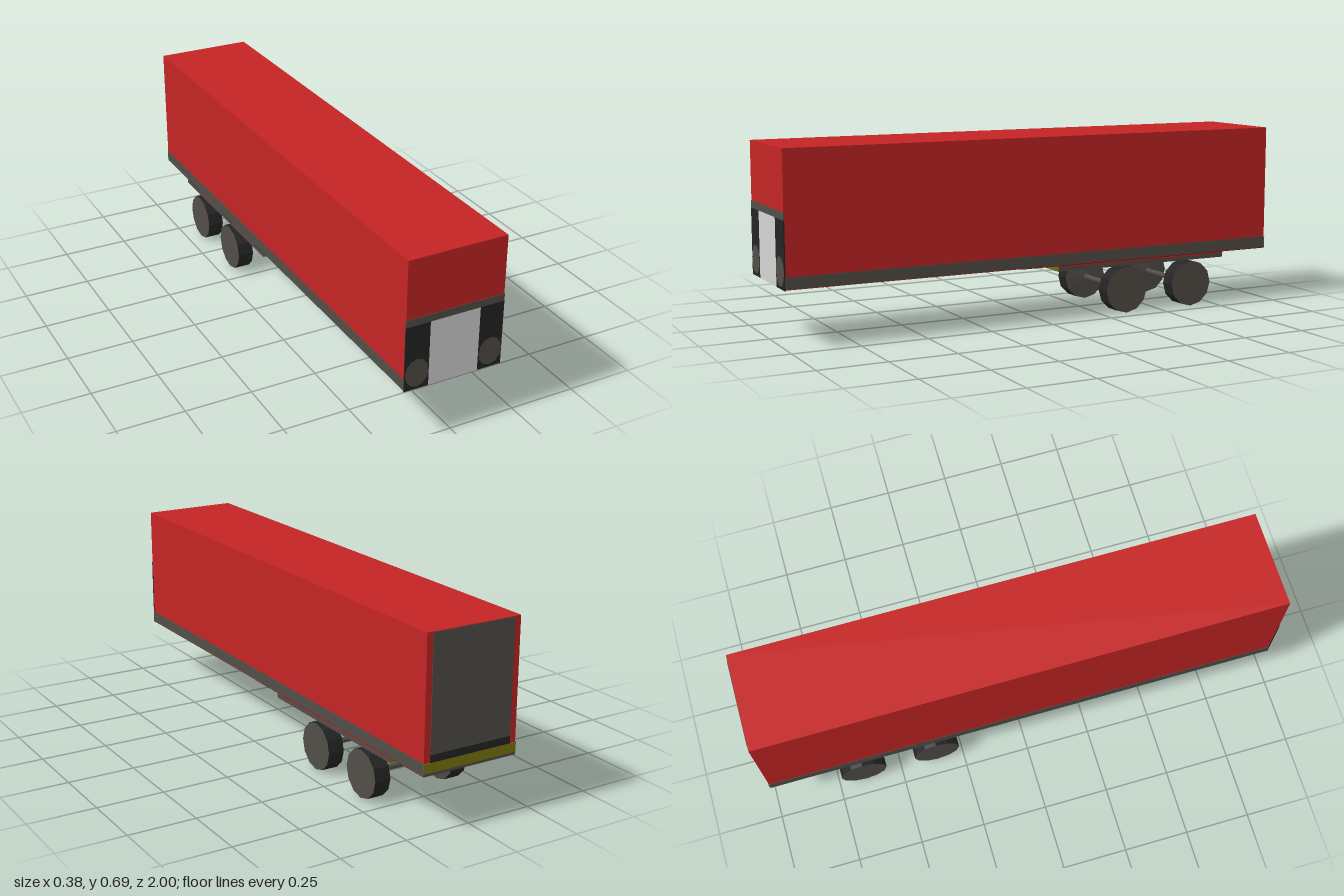
import * as THREE from 'three';

const mat = (name, color) => {
  const m = new THREE.MeshStandardMaterial({ color });
  m.name = name;
  return m;
};

export function createModel() {
  const red = mat('red', 0xc42424);
  const grey = mat('warm grey', 0x524e48);
  const black = mat('black', 0x242424);
  const light = mat('light grey', 0xd4d4d4);
  const yellow = mat('dull yellow', 0x7c780e);

  const model = new THREE.Group();
  model.name = 'boxTrailer';

  // Box given by its limits on each axis
  function box(name, material, [x0, x1], [y0, y1], [z0, z1]) {
    const mesh = new THREE.Mesh(new THREE.BoxGeometry(x1 - x0, y1 - y0, z1 - z0), material);
    mesh.position.set((x0 + x1) / 2, (y0 + y1) / 2, (z0 + z1) / 2);
    mesh.name = name;
    model.add(mesh);
    return mesh;
  }

  // Cargo box
  box('cargoBox', red, [-0.186, 0.186], [0.205, 0.688], [-0.997, 0.997]);

  // Side skirts and front recess panels with round fittings
  for (const s of [-1, 1]) {
    const side = (a, b) => [Math.min(s * a, s * b), Math.max(s * a, s * b)];
    box('sideSkirt', grey, side(0.185, 0.1875), [0.207, 0.25], [-0.997, 0.997]);
    box('frontDarkPanel', black, side(0.095, 0.187), [0.203, 0.445], [0.995, 0.999]);

    const disc = new THREE.Mesh(new THREE.CircleGeometry(1, 12), grey);
    disc.scale.set(0.045, 0.053, 1);
    disc.position.set(s * 0.141, 0.265, 1);
    disc.name = 'frontRoundFitting';
    model.add(disc);
  }

  // Front wall
  box('frontLightPanel', light, [-0.095, 0.095], [0.203, 0.445], [0.995, 0.999]);
  box('frontRail', grey, [-0.187, 0.187], [0.445, 0.472], [0.995, 0.999]);

  // Rear door, dark sill and bumper strip
  box('rearDoor', grey, [-0.162, 0.162], [0.275, 0.686], [-0.999, -0.995]);
  box('rearDarkSill', black, [-0.162, 0.162], [0.248, 0.275], [-0.999, -0.995]);
  box('rearYellowStrip', yellow, [-0.187, 0.187], [0.214, 0.248], [-1, -0.995]);
  box('rearLowerRail', grey, [-0.187, 0.187], [0.204, 0.214], [-0.999, -0.995]);

  // Painted underside of the rear half
  box('underPanel', black, [-0.185, 0.185], [0.203, 0.207], [-0.996, 0.1]);
  box('underCentrePanel', light, [-0.095, 0.095], [0.201, 0.206], [-0.97, 0]);

  // Bogie frame: one box with a colour for each face (+x, -x, top, bottom, front, back)
  const frame = box('bogieFrame', grey, [-0.18, 0.18], [0.181, 0.204], [-0.8, -0.06]);
  frame.material = [grey, grey, grey, light, yellow, yellow];
  for (const s of [-1, 1]) {
    const x = s * 0.1803;
    box('bogieRedLine', red, [x - 0.001, x + 0.001], [0.197, 0.204], [-0.799, -0.061]);
  }

  // Slanted hazard lines on the front of the frame
  const line = new THREE.Shape([
    new THREE.Vector2(0, 0.2035), new THREE.Vector2(0.022, 0.1815),
    new THREE.Vector2(0.0245, 0.1815), new THREE.Vector2(0.0025, 0.2035),
  ]);
  const lineGeometry = new THREE.ShapeGeometry(line);
  const hazard = new THREE.Group();
  hazard.name = 'hazardLines';
  for (let i = 0; i < 25; i++) {
    const m = new THREE.Mesh(lineGeometry, black);
    m.material.side = THREE.DoubleSide;
    m.position.set(-0.178 + i * 0.0138, 0, -0.0585);
    m.name = 'hazardLine';
    hazard.add(m);
  }
  model.add(hazard);

  // Wheels: dark tread, flat outer face, shallow inner cone
  const R = 0.089, SIDES = 12;
  const tread = new THREE.CylinderGeometry(R, R, 0.062, SIDES, 1, true).toNonIndexed();
  const inner = new THREE.CylinderGeometry(R, 0.011, 0.01, SIDES, 1, true).toNonIndexed();
  tread.computeVertexNormals();
  inner.computeVertexNormals();
  const face = new THREE.CircleGeometry(R, SIDES).rotateX(-Math.PI / 2);
  function wheel(s, z) {
    const g = new THREE.Group();
    g.name = s > 0 ? 'leftWheel' : 'rightWheel';
    const add = (name, geometry, material, y) => {
      const m = new THREE.Mesh(geometry, material);
      m.position.y = y;
      m.name = name;
      g.add(m);
    };
    add('tyreTread', tread, black, 0);
    add('wheelOuterFace', face, grey, 0.031);
    add('wheelInnerCone', inner, grey, -0.036);
    g.rotation.z = -s * Math.PI / 2;
    g.position.set(s * 0.161, R, z);
    model.add(g);
  }

  for (const z of [-0.352, -0.645]) {
    wheel(1, z);
    wheel(-1, z);
    const axle = new THREE.Mesh(new THREE.CylinderGeometry(0.011, 0.011, 0.242, 8), grey);
    axle.rotation.z = Math.PI / 2;
    axle.position.set(0, R, z);
    axle.name = 'axle';
    model.add(axle);
  }

  return model;
}
